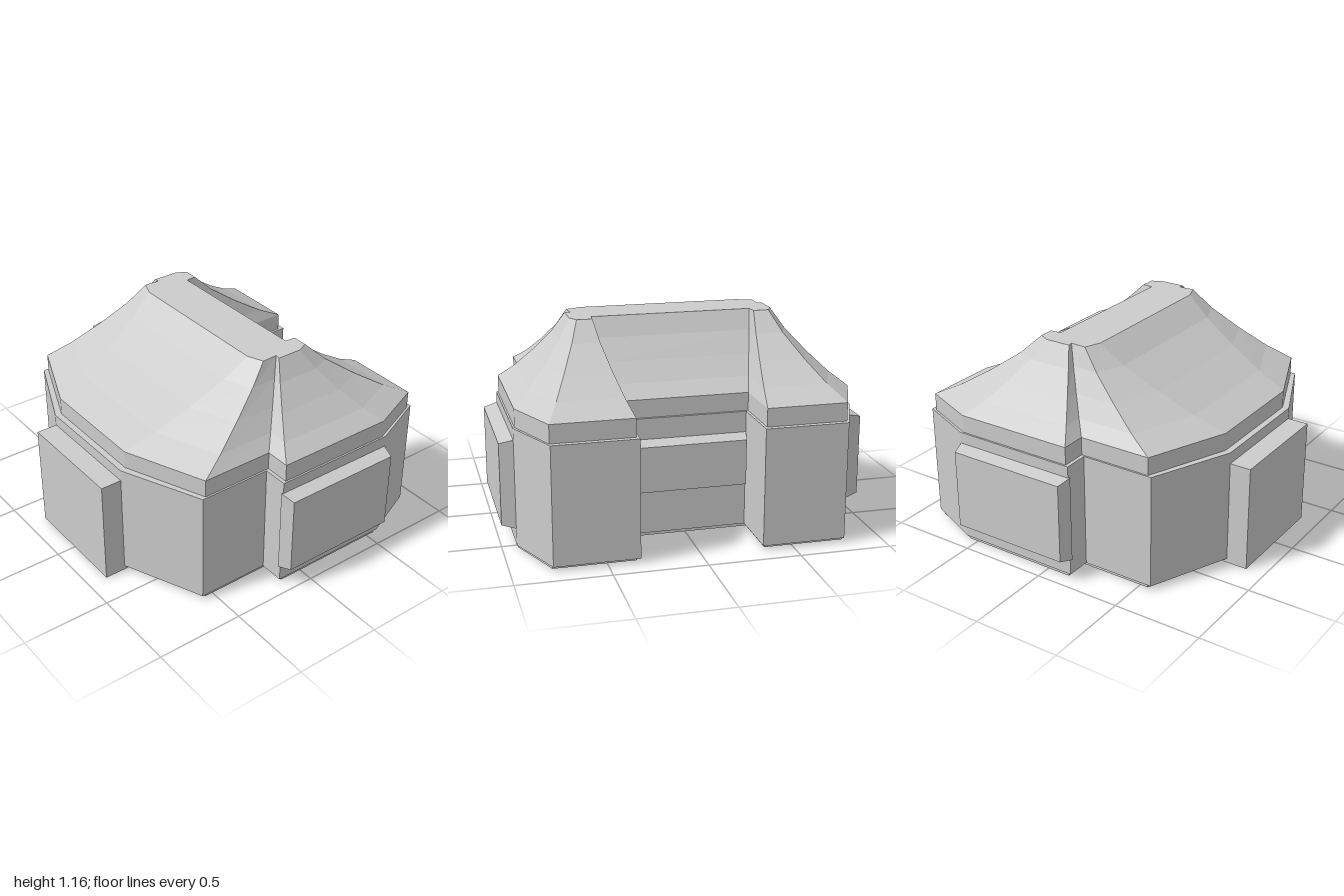
import * as THREE from 'three';

const material = new THREE.MeshStandardMaterial({ color: 0xcccccc, flatShading: true });

// Half outlines [x, z] on the +x side, running front to back
const WALL = [[0.33, 0.77], [0.785, 0.575], [0.785, 0.16], [0.925, 0.16],
  [0.925, -0.56], [0.785, -0.89], [0.33, -0.89], [0.33, -0.56]];
const EAVE = [[0.32, 0.735], [0.775, 0.55], [0.775, 0.14], [0.915, 0.14],
  [0.915, -0.545], [0.785, -0.86], [0.345, -0.86], [0.345, -0.545]];
const CROWN = [[0.45, 0.035], [0.54, 0], [0.535, -0.09], [0.565, -0.085],
  [0.565, -0.23], [0.535, -0.29], [0.45, -0.29], [0.445, -0.23]];

// Roof curve: height and how far the outline has moved from eave to crown
const CURVE = [[0.77, 0], [0.84, 0.25], [0.94, 0.53], [1.055, 0.81], [1.16, 1]];

const mirrored = (half) => [...half, ...half.map(([x, z]) => [-x, z]).reverse()];

const toShape = (half) =>
  new THREE.Shape(mirrored(half).map(([x, z]) => new THREE.Vector2(x, -z)));

function add(parent, name, geometry) {
  const mesh = new THREE.Mesh(geometry, material);
  mesh.name = name;
  parent.add(mesh);
  return mesh;
}

// Vertical slab of an outline between two heights
function slab(half, y0, y1) {
  return new THREE.ExtrudeGeometry(toShape(half), { depth: y1 - y0, bevelEnabled: false })
    .rotateX(-Math.PI / 2).translate(0, y0, 0);
}

// Loft from the eave outline to the crown outline along the curve
function roofSlopes() {
  const eave = mirrored(EAVE), crown = mirrored(CROWN), n = eave.length;
  const positions = [], index = [];
  for (const [y, t] of CURVE) {
    eave.forEach(([x, z], i) => positions.push(
      THREE.MathUtils.lerp(x, crown[i][0], t), y, THREE.MathUtils.lerp(z, crown[i][1], t)));
  }
  for (let r = 0; r < CURVE.length - 1; r++) {
    for (let i = 0; i < n; i++) {
      const a = r * n + i, b = r * n + (i + 1) % n;
      index.push(a, b, b + n, a, b + n, a + n);
    }
  }
  const geometry = new THREE.BufferGeometry();
  geometry.setAttribute('position', new THREE.Float32BufferAttribute(positions, 3));
  geometry.setIndex(index);
  const flat = geometry.toNonIndexed();
  flat.computeVertexNormals();
  return flat;
}

// Box whose outer (+z) face is smaller, giving chamfered sides
function chamferedPanel(width, height, depth, inset) {
  const geometry = new THREE.BoxGeometry(width, height, depth);
  const p = geometry.attributes.position;
  for (let i = 0; i < p.count; i++) {
    if (p.getZ(i) > 0) {
      p.setX(i, p.getX(i) - Math.sign(p.getX(i)) * inset);
      p.setY(i, p.getY(i) - Math.sign(p.getY(i)) * inset);
    }
  }
  geometry.computeVertexNormals();
  return geometry;
}

export function createModel() {
  const group = new THREE.Group();
  group.name = 'building';

  // Body
  add(group, 'base', slab(EAVE, 0.005, 0.025));
  add(group, 'walls', slab(WALL, 0.025, 0.67));
  add(group, 'eaveBand', slab(EAVE, 0.67, 0.77));

  // Roof
  add(group, 'roofSlopes', roofSlopes());
  add(group, 'roofTop', new THREE.ShapeGeometry(toShape(CROWN))
    .rotateX(-Math.PI / 2).translate(0, 1.16, 0));

  for (const side of [1, -1]) {
    const prefix = side > 0 ? 'left' : 'right';

    // Front door leaves
    add(group, prefix + 'Door', new THREE.BoxGeometry(0.328, 0.605, 0.19))
      .position.set(side * 0.164, 0.3025, 0.795);

    // Side panels
    const panel = add(group, prefix + 'SidePanel', chamferedPanel(0.73, 0.49, 0.08, 0.02));
    panel.position.set(side * 0.96, 0.362, -0.195);
    panel.rotation.y = side * Math.PI / 2;
  }

  // Panel in the rear recess
  const rear = add(group, 'rearPanel', chamferedPanel(0.66, 0.29, 0.08, 0.02));
  rear.position.set(0, 0.41, -0.6);
  rear.rotation.y = Math.PI;

  return group;
}
